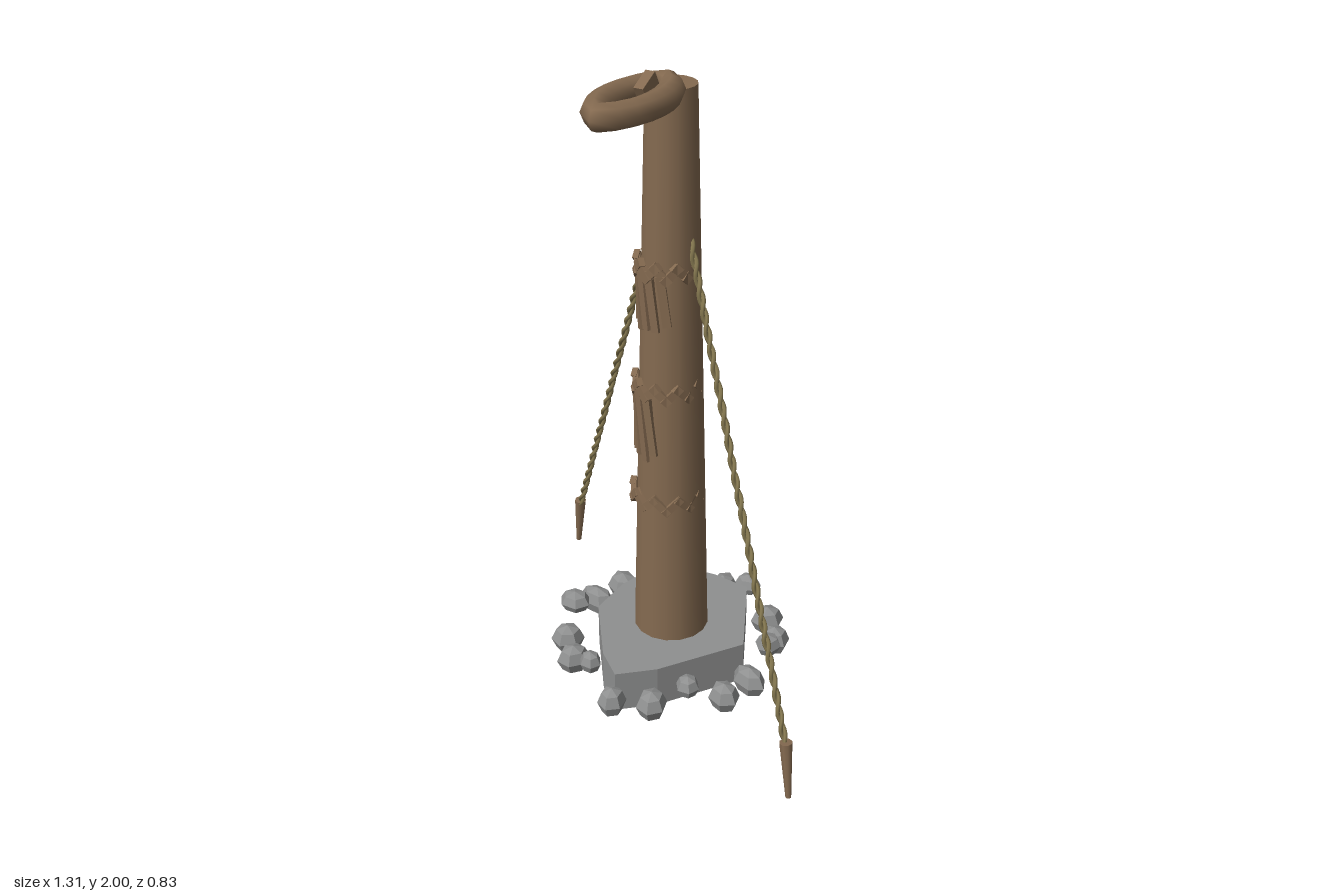
import * as THREE from 'three';

const V = (x, y, z) => new THREE.Vector3(x, y, z);
const mat = (color, flatShading = false) => new THREE.MeshStandardMaterial({ color, flatShading });
const wood = mat(0x846a50), woodFlat = mat(0x846a50, true);
const rope = mat(0x857850), stone = mat(0x8f9090, true);

// Pole dimensions
const BASE = 0.13, TOP = 1.94;
const poleRadius = y => THREE.MathUtils.lerp(0.12, 0.075, (y - BASE) / (TOP - BASE));

function add(parent, name, geometry, material, position) {
  const mesh = new THREE.Mesh(geometry, material);
  mesh.name = name;
  if (position) mesh.position.copy(position);
  parent.add(mesh);
  return mesh;
}

// Cylinder running between two points
function rod(parent, name, a, b, ra, rb, sides, material) {
  const d = b.clone().sub(a);
  const mesh = add(parent, name, new THREE.CylinderGeometry(rb, ra, d.length(), sides), material,
    a.clone().add(b).multiplyScalar(0.5));
  mesh.quaternion.setFromUnitVectors(V(0, 1, 0), d.normalize());
  return mesh;
}

// Helical strand around the line a-b
class Strand extends THREE.Curve {
  constructor(a, b, phase) {
    super();
    this.a = a; this.b = b; this.phase = phase;
    this.u = b.clone().sub(a).cross(V(0, 1, 0)).normalize();
    this.v = b.clone().sub(a).cross(this.u).normalize();
  }
  getPoint(t, target = new THREE.Vector3()) {
    const w = this.phase + t * Math.PI * 2 * 14;
    return target.copy(this.a).lerp(this.b, t)
      .addScaledVector(this.u, Math.cos(w) * 0.006)
      .addScaledVector(this.v, Math.sin(w) * 0.006);
  }
}

function makeFoundation(group) {
  // Irregular slab
  const outline = [[-0.2, -0.22], [-0.08, -0.28], [0, -0.29], [0.13, -0.28], [0.27, 0], [0.1, 0.25],
    [0, 0.34], [-0.09, 0.27], [-0.24, 0.07], [-0.24, -0.08]];
  const shape = new THREE.Shape(outline.map(([x, z]) => new THREE.Vector2(x, -z)));
  const slab = new THREE.ExtrudeGeometry(shape, { depth: 0.14, bevelEnabled: false });
  slab.rotateX(-Math.PI / 2);
  add(group, 'foundationSlab', slab, stone);

  // Ring of boulders: x, z, radial half-length, half-width, height of centre
  const rocks = [
    [0, -0.35, 0.065, 0.045, 0.05], [0.11, -0.325, 0.043, 0.045, 0.12], [0.22, -0.26, 0.056, 0.05, 0.055],
    [0.29, -0.18, 0.05, 0.05, 0.05], [0.325, -0.065, 0.042, 0.044, 0.12], [0.32, 0.05, 0.065, 0.043, 0.05],
    [0.29, 0.16, 0.055, 0.048, 0.05], [0.21, 0.25, 0.04, 0.038, 0.12], [0.115, 0.31, 0.055, 0.05, 0.05],
    [0, 0.36, 0.05, 0.045, 0.05], [-0.115, 0.305, 0.035, 0.038, 0.12], [-0.22, 0.25, 0.055, 0.048, 0.055],
    [-0.3, 0.165, 0.055, 0.052, 0.05], [-0.34, 0.06, 0.055, 0.048, 0.12], [-0.335, -0.065, 0.07, 0.042, 0.05],
    [-0.3, -0.175, 0.06, 0.052, 0.055], [-0.215, -0.26, 0.045, 0.04, 0.12], [-0.12, -0.33, 0.07, 0.042, 0.05]];
  rocks.forEach(([x, z, len, wide, y], i) => {
    const rock = add(group, 'boulder', new THREE.SphereGeometry(1, 6, 4), stone, V(x, y, z));
    rock.scale.set(len, y > 0.1 ? 0.037 : 0.05, wide);
    rock.rotation.y = Math.atan2(-z, x) + 0.15 * Math.sin(i * 2.3);
  });
}

function makeBindings(group) {
  // Woven bands, set a little forward so they sink into the pole behind
  const count = 18;
  for (const y of [1.405, 1.02, 0.64]) {
    const band = new THREE.Group();
    band.name = 'wovenBand';
    band.position.set(-0.01, y, 0.008);
    const r = poleRadius(y) - 0.003;
    for (let i = 0; i < count; i++) {
      const a = i / count * Math.PI * 2;
      const bit = add(band, 'weave', new THREE.BoxGeometry(0.025, 0.075, 0.018), woodFlat,
        V(Math.sin(a) * r, 0, Math.cos(a) * r));
      bit.rotation.set(0, a, i % 2 ? 0.8 : -0.8, 'YXZ');
    }
    group.add(band);
  }

  // Hanging strips under the bands: angle, top, length
  const strips = [[-1.15, 1.4, 0.17], [-0.75, 1.41, 0.2], [-0.4, 1.4, 0.18], [-0.05, 1.41, 0.19], [0.35, 1.4, 0.16],
    [-1.15, 1.01, 0.22], [-0.75, 1.02, 0.23], [-0.4, 1.02, 0.24], [-0.08, 1.01, 0.2]];
  for (const [a, top, len] of strips) {
    const y = top - len / 2, r = poleRadius(y) + 0.001;
    const strip = add(group, 'hangingStrip', new THREE.BoxGeometry(0.026, len, 0.016), woodFlat,
      V(Math.sin(a) * r - 0.004, y, Math.cos(a) * r));
    strip.rotation.set(0.02, a, 0.13, 'YXZ');
  }
}

function makeTopLoop(group) {
  // Elongated ring reaching forward from the pole top
  const points = [[0, 0.015], [0.05, 0.09], [0.067, 0.19], [0.05, 0.29], [0, 0.365],
    [-0.05, 0.29], [-0.067, 0.19], [-0.05, 0.09]];
  const path = new THREE.CatmullRomCurve3(points.map(([x, z]) => V(x, TOP, z)), true);
  add(group, 'topLoop', new THREE.TubeGeometry(path, 16, 0.039, 8, true), wood);
  const peg = add(group, 'loopPeg', new THREE.BoxGeometry(0.03, 0.09, 0.07), woodFlat, V(0.003, 1.945, 0.122));
  peg.rotation.x = 0.5;
}

function makeGuyLine(group, side) {
  const line = new THREE.Group();
  line.name = side > 0 ? 'leftGuyLine' : 'rightGuyLine';
  const a = V(side * 0.075, 1.5, side * 0.02), b = V(side * 0.622, 0.165, side * 0.388);
  for (const phase of [0, Math.PI]) {
    add(line, 'ropeStrand', new THREE.TubeGeometry(new Strand(a, b, phase), 170, 0.0068, 5), rope);
  }
  rod(line, 'stake', V(side * 0.645, 0, side * 0.405), V(side * 0.622, 0.185, side * 0.39), 0.009, 0.02, 8, wood);
  group.add(line);
}

export function createModel() {
  const model = new THREE.Group();
  model.name = 'guyedPole';
  makeFoundation(model);
  add(model, 'pole', new THREE.CylinderGeometry(0.075, 0.12, TOP - BASE, 16), wood, V(0, (TOP + BASE) / 2, 0));
  makeBindings(model);
  makeTopLoop(model);
  for (const side of [1, -1]) makeGuyLine(model, side);
  return model;
}
